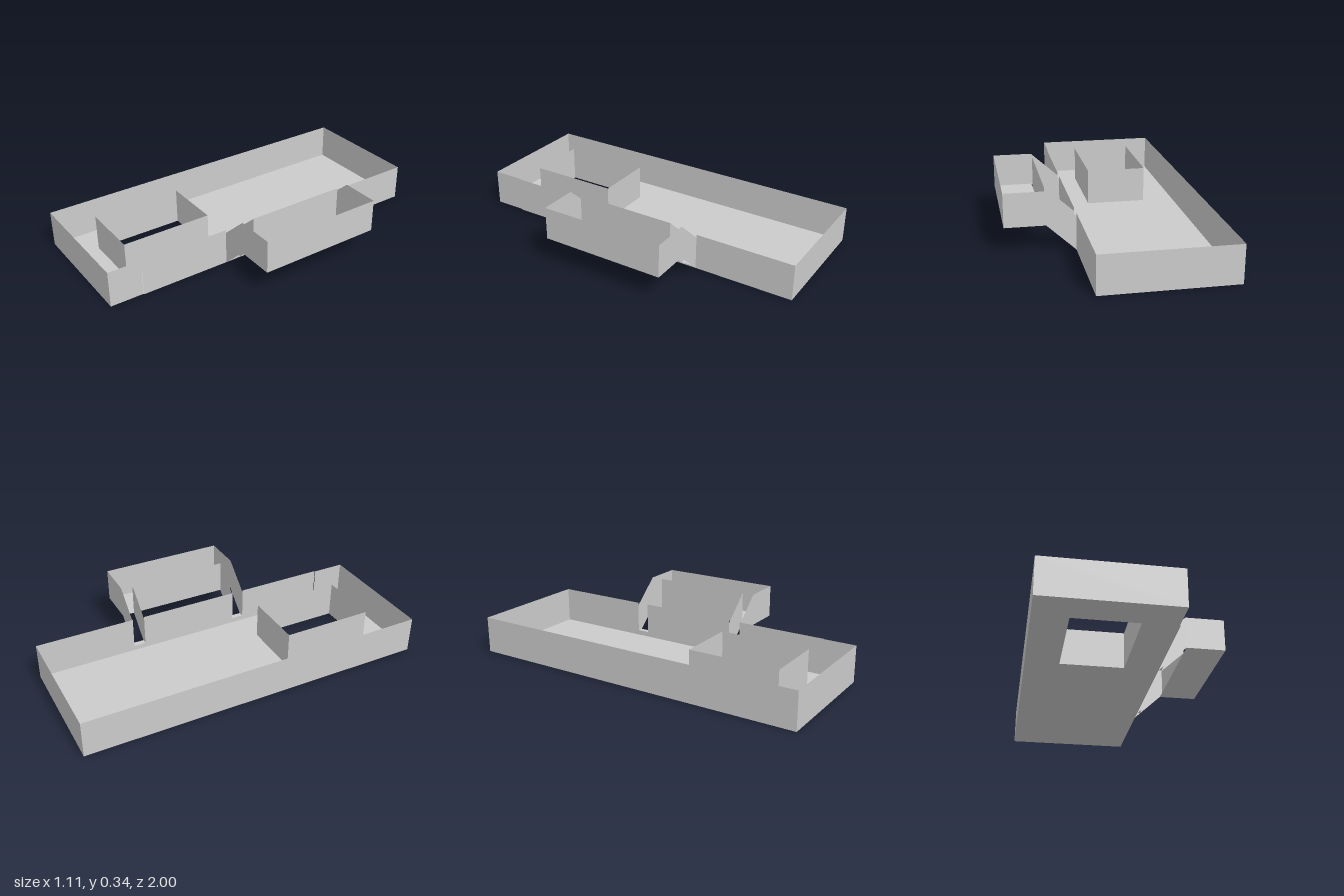
import * as THREE from 'three';

const material = new THREE.MeshStandardMaterial({
  color: 0xcccccc, flatShading: true, side: THREE.DoubleSide,
});

function addMesh(parent, name, geometry) {
  const mesh = new THREE.Mesh(geometry, material);
  mesh.name = name;
  parent.add(mesh);
  return mesh;
}

// Thin vertical sheet following a path of [x, z] points
function addWall(parent, name, path, bottom, top) {
  const positions = [];
  const index = [];
  path.forEach(([x, z], i) => {
    positions.push(x, bottom, z, x, top, z);
    if (i > 0) {
      const a = 2 * (i - 1);
      index.push(a, a + 2, a + 1, a + 1, a + 2, a + 3);
    }
  });
  const geometry = new THREE.BufferGeometry();
  geometry.setAttribute('position', new THREE.Float32BufferAttribute(positions, 3));
  geometry.setIndex(index);
  const flat = geometry.toNonIndexed();
  flat.computeVertexNormals();
  return addMesh(parent, name, flat);
}

// Thin horizontal sheet from [x, z] corners, with an optional hole
function addFloor(parent, name, corners, y, hole) {
  const toPoints = (list) => list.map(([x, z]) => new THREE.Vector2(x, -z));
  const shape = new THREE.Shape(toPoints(corners));
  if (hole) shape.holes.push(new THREE.Path(toPoints(hole)));
  const geometry = new THREE.ShapeGeometry(shape);
  geometry.rotateX(-Math.PI / 2).translate(0, y, 0);
  return addMesh(parent, name, geometry);
}

const rect = (x0, x1, z0, z1) => [[x0, z0], [x0, z1], [x1, z1], [x1, z0]];
const closed = (path) => [...path, path[0]];

export function createModel() {
  const model = new THREE.Group();
  model.name = 'trayWithSideTrough';

  const left = 0.17, leftFront = 0.165, right = -0.555;
  const height = 0.21, lip = 0.03;
  const zBack = -0.43, zFront = 0.29, armWidth = 0.07;
  const jog = 0.81;
  const troughIn = 0.33, troughOut = 0.553, troughBottom = 0.148, troughTop = 0.337;

  // Main tray: floor with a rectangular well through it
  const tray = new THREE.Group();
  tray.name = 'tray';
  model.add(tray);
  const well = rect(-0.37, -0.02, 0.287, jog);
  addFloor(tray, 'trayFloor',
    [[right, -1], [right, 1], [leftFront, 1], [leftFront, jog], [left, jog], [left, -1]], 0, well);
  addWall(tray, 'wellWall', closed(well), 0, height);

  // Outer wall, interrupted above the lip where the two arms join
  addWall(tray, 'outerWall',
    [[left, zBack], [left, -1], [right, -1], [right, 1], [leftFront, 1], [leftFront, jog]], 0, height);
  addWall(tray, 'frontSideWall', [[left, jog], [left, zFront]], 0, height);
  addWall(tray, 'middleSideWall', [[left, zBack + armWidth], [left, zFront - armWidth]], 0, height);

  // Raised side trough, open to the arms at both inner corners
  const trough = new THREE.Group();
  trough.name = 'trough';
  model.add(trough);
  addFloor(trough, 'troughFloor', rect(troughIn, troughOut, zBack, zFront), troughBottom);
  addWall(trough, 'troughOuterWall',
    [[troughIn, zBack], [troughOut, zBack], [troughOut, zFront], [troughIn, zFront]],
    troughBottom, troughTop);
  addWall(trough, 'troughInnerWall',
    [[troughIn, zBack + armWidth], [troughIn, zFront - armWidth]], troughBottom, troughTop);

  // Sloping arms: paired side sheets with a short ledge at the tray
  const armProfile = new THREE.Shape([
    new THREE.Vector2(left, 0), new THREE.Vector2(troughIn, troughBottom),
    new THREE.Vector2(troughIn, troughTop), new THREE.Vector2(left, 0.193),
  ]);
  for (const z0 of [zBack, zFront - armWidth]) {
    const arm = new THREE.Group();
    arm.name = z0 < 0 ? 'backArm' : 'frontArm';
    model.add(arm);
    for (const z of [z0, z0 + armWidth]) {
      addMesh(arm, 'armSide', new THREE.ShapeGeometry(armProfile)).position.z = z;
    }
    addFloor(arm, 'armLedge', rect(left, 0.2, z0, z0 + armWidth), lip);
    addWall(arm, 'armSill', [[left, z0], [left, z0 + armWidth]], 0, lip);
  }

  return model;
}
